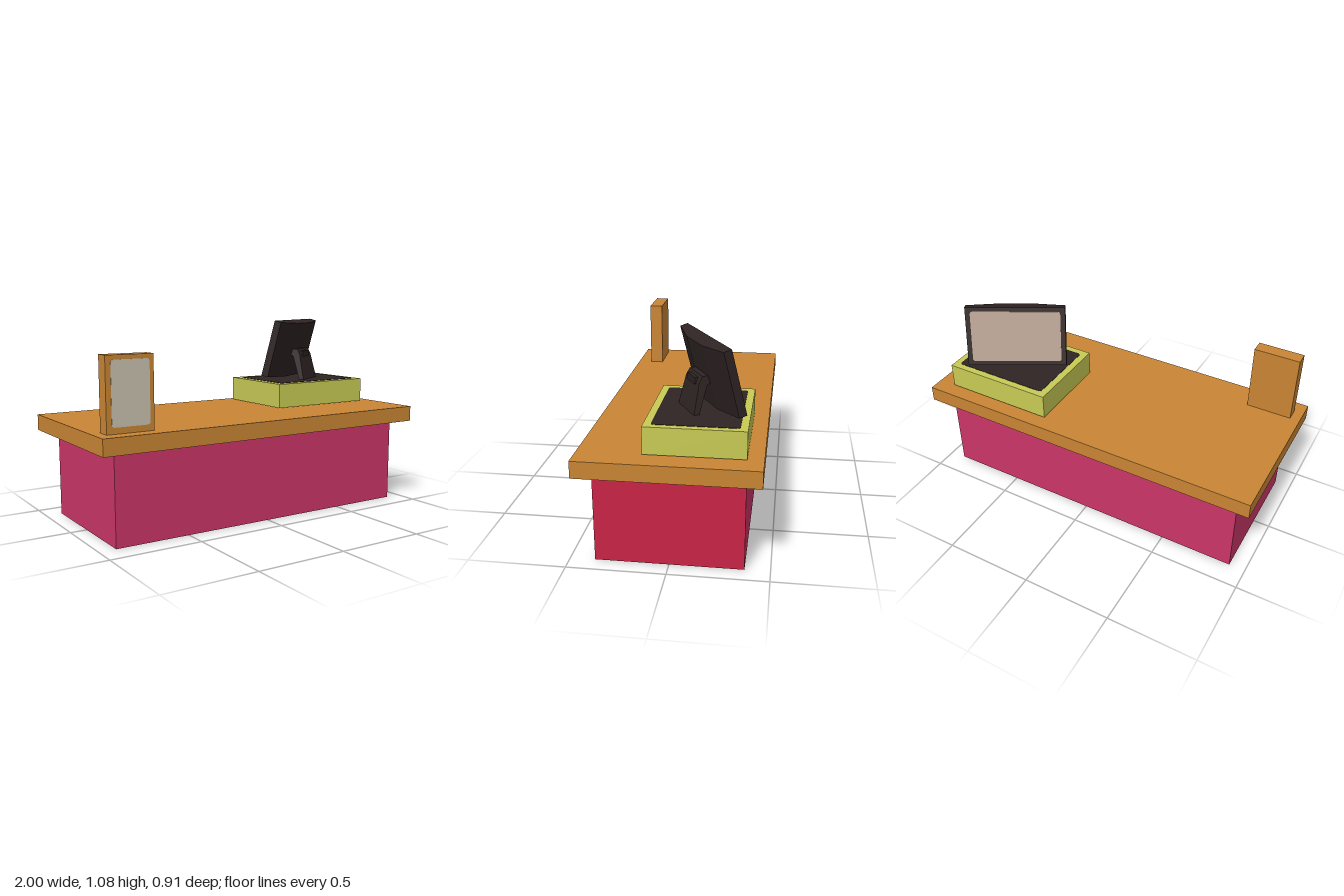
import * as THREE from 'three';

const flat = (name, color, side = THREE.FrontSide) => {
  const m = new THREE.MeshStandardMaterial({ color, side });
  m.name = name;
  return m;
};

function addMesh(parent, name, geometry, material, x = 0, y = 0, z = 0) {
  const mesh = new THREE.Mesh(geometry, material);
  mesh.name = name;
  mesh.position.set(x, y, z);
  parent.add(mesh);
  return mesh;
}

// Box given by its min and max corners
function addBlock(parent, name, material, [x0, y0, z0], [x1, y1, z1]) {
  return addMesh(parent, name, new THREE.BoxGeometry(x1 - x0, y1 - y0, z1 - z0), material,
    (x0 + x1) / 2, (y0 + y1) / 2, (z0 + z1) / 2);
}

// Thin plate with rounded corners, lying in XY and facing +z
function roundedPlate(w, h, r, depth = 0.003) {
  const s = new THREE.Shape();
  const a = w / 2 - r, b = h / 2 - r;
  s.absarc(a, b, r, 0, Math.PI / 2);
  s.absarc(-a, b, r, Math.PI / 2, Math.PI);
  s.absarc(-a, -b, r, Math.PI, Math.PI * 1.5);
  s.absarc(a, -b, r, Math.PI * 1.5, Math.PI * 2);
  return new THREE.ExtrudeGeometry(s, { depth, bevelEnabled: false, curveSegments: 5 });
}

function extrudeProfile(points, depth) {
  const s = new THREE.Shape(points.map(([x, y]) => new THREE.Vector2(x, y)));
  return new THREE.ExtrudeGeometry(s, { depth, bevelEnabled: false });
}

export function createModel() {
  const wood = flat('wood', 0xc98534);
  const pink = flat('pink panel', 0xca3568, THREE.DoubleSide);
  const red = flat('red panel', 0xc92345, THREE.DoubleSide);
  const lime = flat('lime', 0xc8ca55);
  const dark = flat('dark plastic', 0x2e2423);
  const screenGrey = flat('screen', 0xb8a092);
  const paper = flat('paper', 0xc9c1af);

  const model = new THREE.Group();
  model.name = 'counter';

  // Base: four thin panels, open underneath
  const base = new THREE.Group();
  base.name = 'base';
  model.add(base);
  const H = 0.48, X = 0.91, Z = 0.373;
  for (const s of [1, -1]) {
    const long = addMesh(base, s > 0 ? 'frontPanel' : 'backPanel',
      new THREE.PlaneGeometry(2 * X, H), pink, 0, H / 2, s * Z);
    long.rotation.y = s > 0 ? 0 : Math.PI;
    const end = addMesh(base, s > 0 ? 'leftPanel' : 'rightPanel',
      new THREE.PlaneGeometry(2 * Z, H), s > 0 ? red : pink, s * X, H / 2, 0);
    end.rotation.y = s * Math.PI / 2;
  }

  addBlock(model, 'counterTop', wood, [-1, 0.48, -0.453], [1, 0.568, 0.453]);

  // Upright sign with a framed sheet
  addBlock(model, 'signFrame', wood, [-0.945, 0.568, 0.297], [-0.69, 0.948, 0.373]);
  addMesh(model, 'signSheet', roundedPlate(0.205, 0.325, 0.015), paper, -0.815, 0.763, 0.372);

  // Register drawer and the mat on it
  addBlock(model, 'registerDrawer', lime, [0.257, 0.575, -0.373], [0.892, 0.715, 0.127]);
  const mat = addMesh(model, 'registerMat', roundedPlate(0.56, 0.425, 0.015), dark, 0.577, 0.714, -0.123);
  mat.rotation.x = -Math.PI / 2;

  // Register display, turned towards the back; local +z is the screen side
  const display = new THREE.Group();
  display.name = 'registerDisplay';
  display.position.set(0.525, 0, -0.225);
  display.rotation.y = THREE.MathUtils.degToRad(209);
  model.add(display);

  // Monitor: plan profile with bevelled rear sides, tilted back
  const monitor = new THREE.Group();
  monitor.name = 'monitor';
  monitor.position.y = 0.75;
  monitor.rotation.x = THREE.MathUtils.degToRad(-14.5);
  display.add(monitor);
  const shell = extrudeProfile([[-0.28, 0], [0.28, 0], [0.28, 0.042], [0.1, 0.078],
    [-0.1, 0.078], [-0.28, 0.042]], 0.342);
  shell.rotateX(-Math.PI / 2);
  addMesh(monitor, 'monitorShell', shell, dark);
  addMesh(monitor, 'monitorScreen', roundedPlate(0.505, 0.292, 0.015), screenGrey, 0, 0.171, -0.001);

  // Stand: leaning slab that narrows upwards
  const W = 0.212;
  const stand = extrudeProfile([[-0.203, 0.715], [-0.175, 0.715], [-0.125, 0.86], [-0.1, 0.865],
    [-0.105, 0.903], [-0.15, 0.903], [-0.168, 0.87]], W);
  stand.rotateY(-Math.PI / 2).translate(W / 2, 0, 0);
  const p = stand.attributes.position;
  for (let i = 0; i < p.count; i++) {
    p.setX(i, p.getX(i) * (1 - 0.22 * (p.getY(i) - 0.715) / 0.188));
  }
  stand.computeVertexNormals();
  addMesh(display, 'monitorStand', stand, dark);
  // Hinge on the stand
  addBlock(display, 'standHinge', dark, [-0.05, 0.855, -0.176], [0.05, 0.89, -0.14]);

  return model;
}
